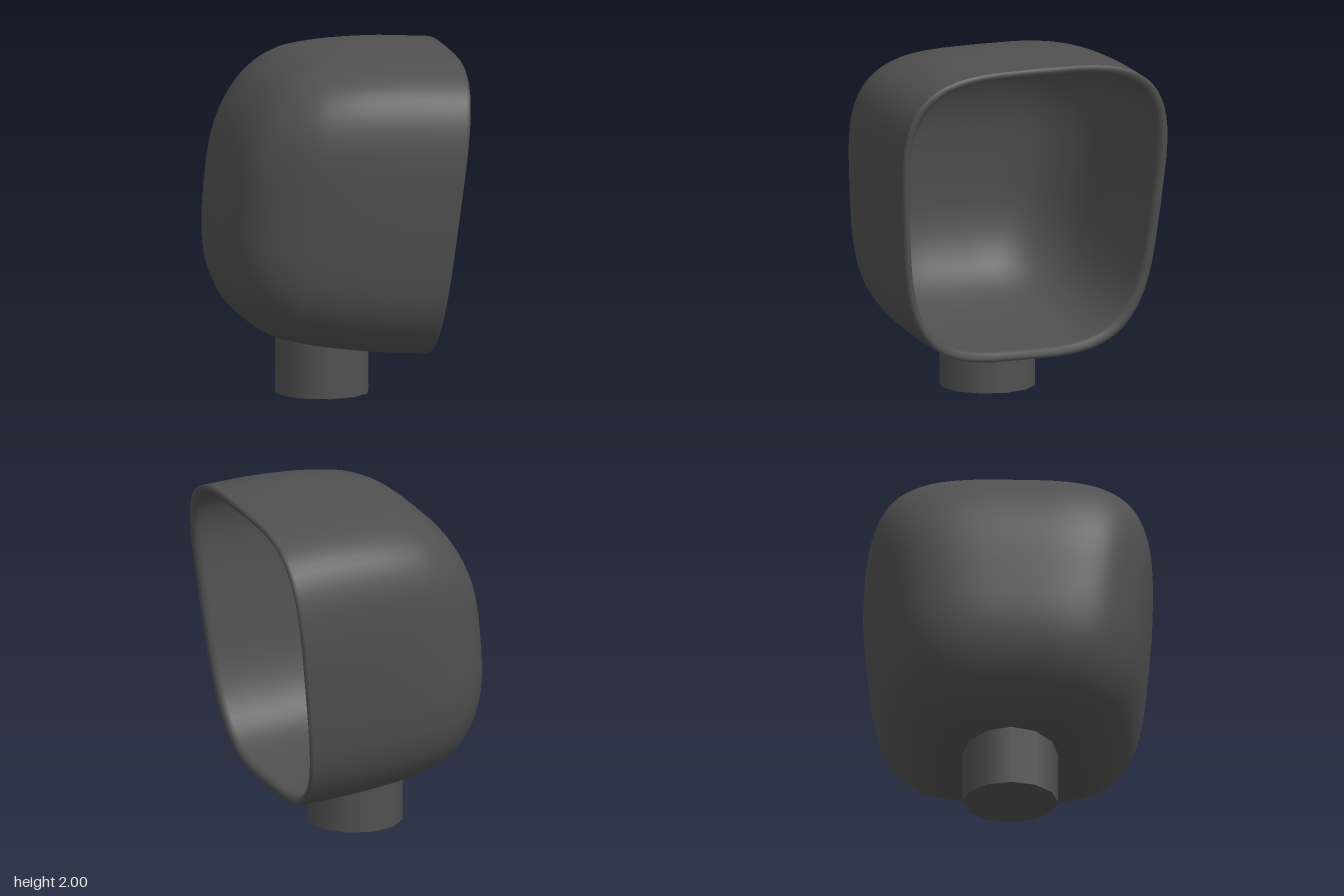
import * as THREE from 'three';
import { mergeVertices } from 'three/addons/utils/BufferGeometryUtils.js';

const SEGMENTS = 64;
const DEPTH = 1.262;

// Tilted frame of the open rim: centre, up direction and outward normal
const centre = new THREE.Vector3(0.59, 1.115, 0);
const up = new THREE.Vector3(0.2, 1.73, 0).normalize();
const out = new THREE.Vector3(up.y, -up.x, 0);

// Key cross-sections behind the rim: [depth, top, bottom, half width]
const rim = [0, 0.87, -0.879, 0.83];
const keys = [
  rim,
  [0.3, 0.855, -0.891, 0.828],
  [0.6, 0.818, -0.886, 0.815],
  [0.8, 0.775, -0.867, 0.788],
  [0.9, 0.738, -0.844, 0.762],
  [1.0, 0.678, -0.797, 0.717],
  [1.1, 0.575, -0.715, 0.648],
  [1.18, 0.435, -0.595, 0.555],
  [1.23, 0.285, -0.46, 0.425],
  [1.255, 0.13, -0.31, 0.25],
  [DEPTH, -0.07, -0.07, 0],
];

// Smooth the key sections into a finer row
function smoothSections(steps) {
  const curve = (pick) => new THREE.CatmullRomCurve3(keys.map(pick), false, 'catmullrom', 0.5);
  const heights = curve(([d, t, b]) => new THREE.Vector3(d, t, b));
  const widths = curve(([, , , w]) => new THREE.Vector3(w, 0, 0));
  return Array.from({ length: steps + 1 }, (_, i) => {
    const h = heights.getPoint(i / steps);
    return [h.x, h.y, h.z, widths.getPoint(i / steps).x];
  });
}

// Rounded-square ring, slightly wider towards the top
function ring([depth, top, bottom, width], scale = 1) {
  const n = 3.65 - 0.75 * Math.pow(Math.min(depth / DEPTH, 1), 6);
  const soft = (t) => Math.sign(t) * Math.pow(Math.abs(t), 2 / n);
  const mid = (top + bottom) / 2;
  const half = ((top - bottom) / 2) * scale;
  const points = [];
  for (let i = 0; i < SEGMENTS; i++) {
    const a = (i / SEGMENTS) * Math.PI * 2;
    const v = soft(Math.sin(a));
    const p = centre.clone().addScaledVector(out, -depth).addScaledVector(up, mid + half * v);
    p.z = soft(Math.cos(a)) * width * scale * (0.974 + 0.09 * v);
    points.push(p);
  }
  return points;
}

// Skin a row of rings into one smooth closed surface
function loft(rings) {
  const positions = [];
  const index = [];
  rings.forEach((r) => r.forEach((p) => positions.push(p.x, p.y, p.z)));
  for (let j = 0; j < rings.length - 1; j++) {
    for (let i = 0; i < SEGMENTS; i++) {
      const a = j * SEGMENTS + i;
      const b = j * SEGMENTS + ((i + 1) % SEGMENTS);
      index.push(a, b, a + SEGMENTS, b, b + SEGMENTS, a + SEGMENTS);
    }
  }
  let geometry = new THREE.BufferGeometry();
  geometry.setAttribute('position', new THREE.Float32BufferAttribute(positions, 3));
  geometry.setIndex(index);
  geometry = mergeVertices(geometry);
  geometry.computeVertexNormals();
  return geometry;
}

export function createModel() {
  const model = new THREE.Group();
  model.name = 'hoodedShell';
  const darkGrey = new THREE.MeshStandardMaterial({ color: 0x505050 });
  darkGrey.name = 'dark grey';

  // Hollow hood: inner wall from the back, round the lip, then the outer wall
  const sections = smoothSections(30);
  const inner = sections.slice(1).reverse()
    .map(([d, t, b, w]) => ring([d * 0.96, t, b, w], 0.945));
  const lip = [[0.04, 0.943], [0.012, 0.95], [0, 0.975], [0, 1], [0.02, 1]]
    .map(([d, s]) => ring([d, ...rim.slice(1)], s));
  const outer = sections.slice(1).map((s) => ring(s));
  const hood = new THREE.Mesh(loft([...inner, ...lip, ...outer]), darkGrey);
  hood.name = 'hood';
  model.add(hood);

  // Stem, its top slanted to end inside the wall of the hood
  const stemGeometry = new THREE.CylinderGeometry(0.275, 0.275, 1, 12);
  stemGeometry.translate(-0.04, 0.5, 0);
  const pos = stemGeometry.attributes.position;
  for (let i = 0; i < pos.count; i++) {
    if (pos.getY(i) > 0.5) pos.setY(i, 0.315 - 0.15 * pos.getX(i));
  }
  const stem = new THREE.Mesh(stemGeometry, darkGrey);
  stem.name = 'stem';
  model.add(stem);

  return model;
}
